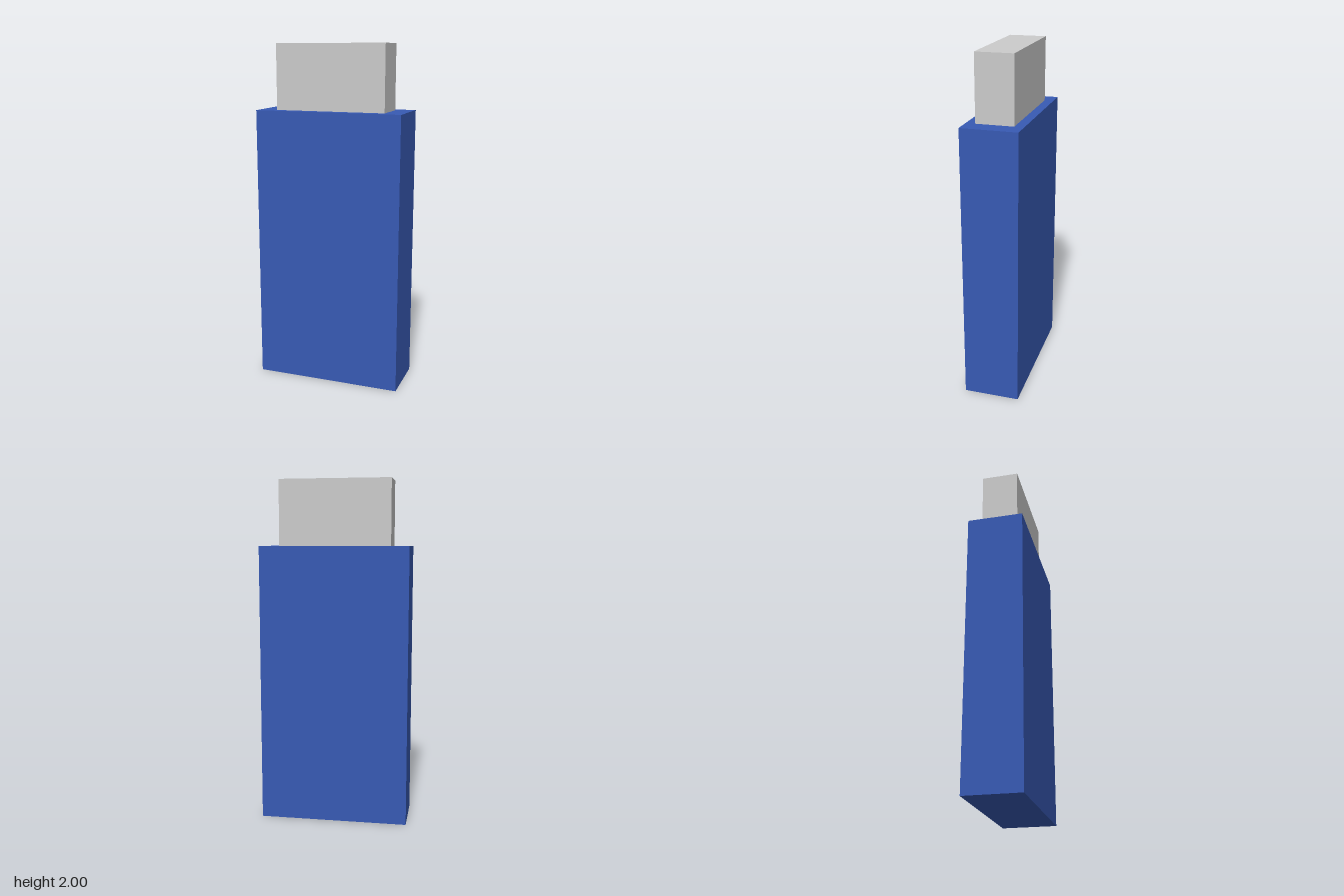
import * as THREE from 'three';

// Everything is laid out on a grid of 37 units in height.
const UNIT = 2 / 37;

function block(name, width, height, depth, bottom, color) {
  const mesh = new THREE.Mesh(
    new THREE.BoxGeometry(width * UNIT, height * UNIT, depth * UNIT),
    new THREE.MeshStandardMaterial({ color })
  );
  mesh.name = name;
  mesh.position.y = (bottom + height / 2) * UNIT;
  return mesh;
}

export function createModel() {
  const group = new THREE.Group();
  group.name = 'flashDrive';

  // Blue casing with the grey plug standing on top
  group.add(block('casing', 16, 30, 6, 0, 0x385ab4));
  group.add(block('plug', 12, 7, 4, 30, 0xcccccc));

  return group;
}
